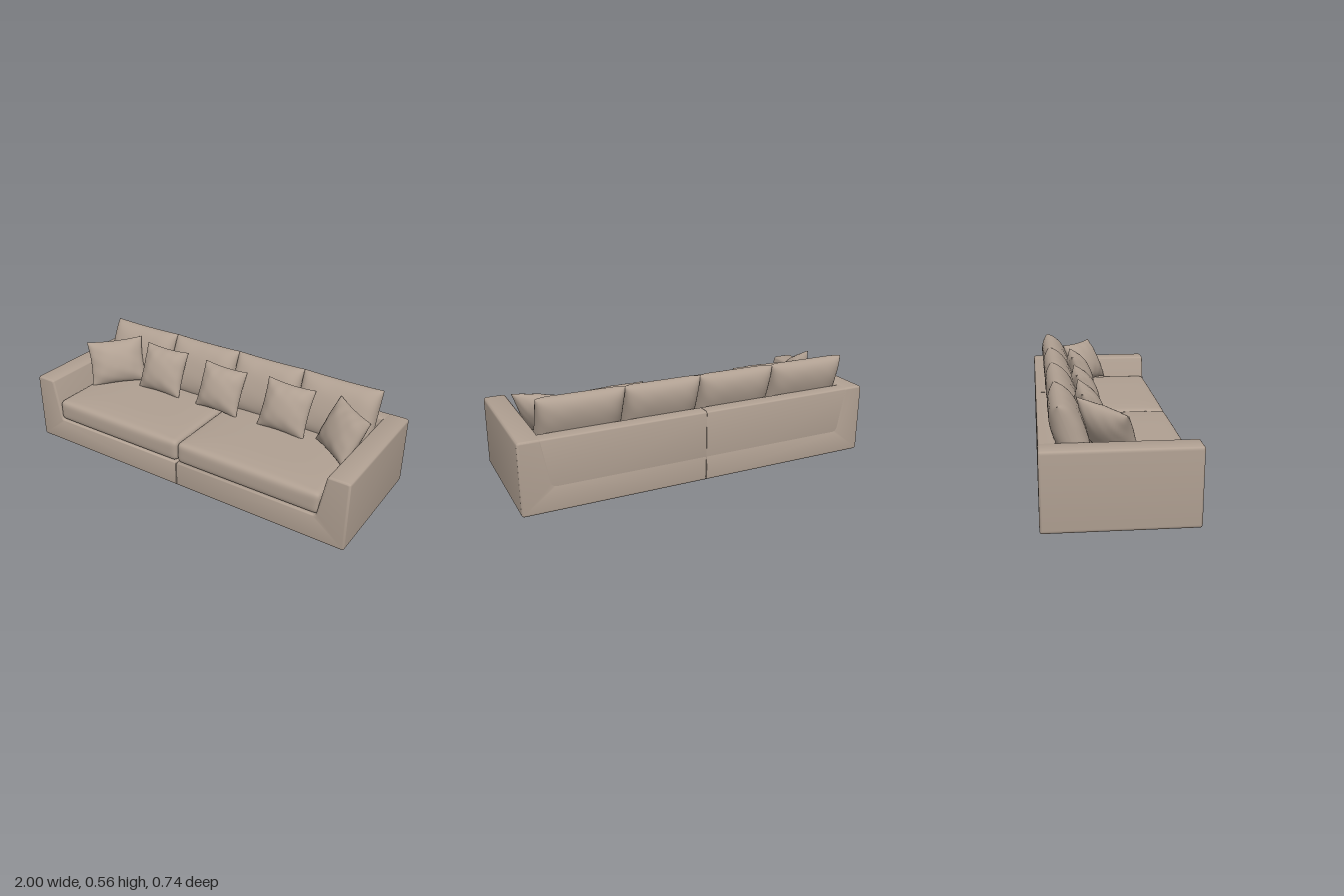
import * as THREE from 'three';
import { mergeVertices, toCreasedNormals } from 'three/addons/utils/BufferGeometryUtils.js';

// Closed polygon with softened corners
function roundedShape(points, r) {
  const shape = new THREE.Shape();
  const pts = points.map(([x, y]) => new THREE.Vector2(x, y));
  pts.forEach((p, i) => {
    const prev = pts[(i + pts.length - 1) % pts.length];
    const next = pts[(i + 1) % pts.length];
    const a = p.clone().add(prev.clone().sub(p).setLength(r));
    const b = p.clone().add(next.clone().sub(p).setLength(r));
    if (i === 0) shape.moveTo(a.x, a.y); else shape.lineTo(a.x, a.y);
    shape.quadraticCurveTo(p.x, p.y, b.x, b.y);
  });
  shape.closePath();
  return shape;
}

// Move every vertex of a geometry by a rule and smooth the result
function reshape(geometry, rule) {
  geometry.deleteAttribute('uv');
  geometry.deleteAttribute('normal');
  const g = mergeVertices(geometry);
  const pos = g.attributes.position;
  const v = new THREE.Vector3();
  for (let i = 0; i < pos.count; i++) {
    rule(v.fromBufferAttribute(pos, i));
    pos.setXYZ(i, v.x, v.y, v.z);
  }
  g.computeVertexNormals();
  return g;
}

// Upholstered block: rounded edges, crowned top, slightly bulging front
function seatGeometry(w, h, d, r, crown) {
  const half = new THREE.Vector3(w / 2, h / 2, d / 2);
  const inner = half.clone().subScalar(r);
  const core = new THREE.Vector3();
  return reshape(new THREE.BoxGeometry(2, 2, 2, 32, 12, 32), (v) => {
    const { x: a, y: b, z: c } = v;
    v.set(Math.sin(a * Math.PI / 2), Math.sin(b * Math.PI / 2), Math.sin(c * Math.PI / 2)).multiply(half);
    core.copy(v).clamp(inner.clone().negate(), inner);
    v.sub(core);
    if (v.lengthSq() > 0) v.setLength(r);
    v.add(core);
    const nx = v.x / half.x, ny = v.y / half.y, nz = v.z / half.z;
    if (ny > 0) v.y += crown * ny * (1 - nx ** 4) * (1 - nz ** 4);
    if (nz > 0) v.z += 0.005 * nz * (1 - nx ** 4) * (1 - ny ** 2);
  });
}

// Stuffed pillow: thin sewn rim, hollowed sides, pointed corners
function pillowGeometry({ w, h, t, pu = 2, pv = 2, power = 0.6, pinch = 0.06, wrinkle = 0 }) {
  return reshape(new THREE.BoxGeometry(2, 2, 2, 28, 28, 1), (v) => {
    const u = Math.sin(v.x * Math.PI / 2), s = Math.sin(v.y * Math.PI / 2), side = v.z;
    const fill = Math.max(0, (1 - Math.abs(u) ** pu) * (1 - Math.abs(s) ** pv)) ** power;
    const fold = wrinkle * Math.sin(9 * u + 4 * s * side) * Math.sin(6 * s - 3 * u) * (u * u + s * s) * fill;
    v.set(
      w / 2 * u * (1 - pinch * (1 - s * s)),
      h / 2 * s * (1 - pinch * (1 - u * u)),
      side * (0.002 + t / 2 * fill + fold)
    );
  });
}

export function createModel() {
  const sofa = new THREE.Group();
  sofa.name = 'sofa';
  const fabric = new THREE.MeshStandardMaterial({ color: 0xb0a092 });
  fabric.name = 'taupe fabric';

  const add = (name, geometry, position = [0, 0, 0], rotation = [0, 0, 0]) => {
    const mesh = new THREE.Mesh(geometry, fabric);
    mesh.name = name;
    mesh.position.set(...position);
    mesh.rotation.set(...rotation, 'YXZ');
    sofa.add(mesh);
    return mesh;
  };

  // Base and arm in one piece, one for each half
  const bevel = 0.012, depth = 0.735 - 2 * bevel;
  const frame = new THREE.ExtrudeGeometry(
    roundedShape([[0, 0], [1, 0], [1, 0.39], [0.88, 0.39], [0.835, 0.145], [0, 0.145]], 0.018),
    { depth, bevelThickness: bevel, bevelSize: bevel, bevelOffset: -bevel, bevelSegments: 4, curveSegments: 5 }
  );
  frame.translate(0, 0, -depth / 2);
  // Narrow the rounded edge at the middle into a fine seam
  const fp = frame.attributes.position;
  for (let i = 0; i < fp.count; i++) {
    if (fp.getX(i) < 0.02) fp.setX(i, 0.001 + fp.getX(i) * 0.15);
  }
  const frameGeometry = toCreasedNormals(frame, 0.7);
  add('leftBaseAndArm', frameGeometry);
  add('rightBaseAndArm', frameGeometry, [0, 0, 0], [0, Math.PI, 0]);

  // Backrest panels with a sloped inner face
  const backLength = 0.96;
  const back = new THREE.ExtrudeGeometry(
    roundedShape([[-0.367, 0.004], [-0.25, 0.004], [-0.285, 0.389], [-0.367, 0.389]], 0.015),
    { depth: backLength, bevelEnabled: false, curveSegments: 5 }
  );
  back.rotateY(-Math.PI / 2);
  const backGeometry = toCreasedNormals(back, 0.7);
  add('rightBackPanel', backGeometry, [-0.001, 0, 0]);
  add('leftBackPanel', backGeometry, [backLength + 0.001, 0, 0]);

  // Seat cushions
  const seat = seatGeometry(0.846, 0.122, 0.63, 0.028, 0.014);
  for (const side of [-1, 1]) {
    add(side > 0 ? 'leftSeatCushion' : 'rightSeatCushion', seat, [side * 0.424, 0.207, 0.05]);
  }

  // Row of leaning back cushions
  const edges = [-0.9, -0.442, -0.002, 0.418, 0.875];
  for (let i = 0; i < 4; i++) {
    const w = edges[i + 1] - edges[i] + 0.004;
    add(`backCushion${i + 1}`,
      pillowGeometry({ w, h: 0.335, t: 0.15, pu: 6, pv: 2.4, power: 0.5, pinch: 0.025, wrinkle: 0.002 }),
      [(edges[i] + edges[i + 1]) / 2, 0.402, -0.218], [-0.36, 0, 0]);
  }

  // Throw pillows: size, place, then tilt, yaw and roll
  const throws = [
    { w: 0.335, h: 0.27, at: [-0.735, 0.397, -0.035], turn: [-0.42, 0.67, 0.09] },
    { w: 0.295, h: 0.275, at: [-0.422, 0.4, -0.09], turn: [-0.42, 0, 0.01] },
    { w: 0.28, h: 0.265, at: [-0.012, 0.394, -0.09], turn: [-0.42, 0, -0.02] },
    { w: 0.29, h: 0.275, at: [0.408, 0.399, -0.09], turn: [-0.42, 0, -0.02] },
    { w: 0.3, h: 0.27, at: [0.765, 0.395, -0.04], turn: [-0.5, -0.62, -0.02] }
  ];
  throws.forEach(({ w, h, at, turn }, i) => {
    add(`throwPillow${i + 1}`, pillowGeometry({ w, h, t: 0.13, pu: 2.4, pv: 2.4, pinch: 0.07, wrinkle: 0.005 }), at, turn);
  });

  return sofa;
}
